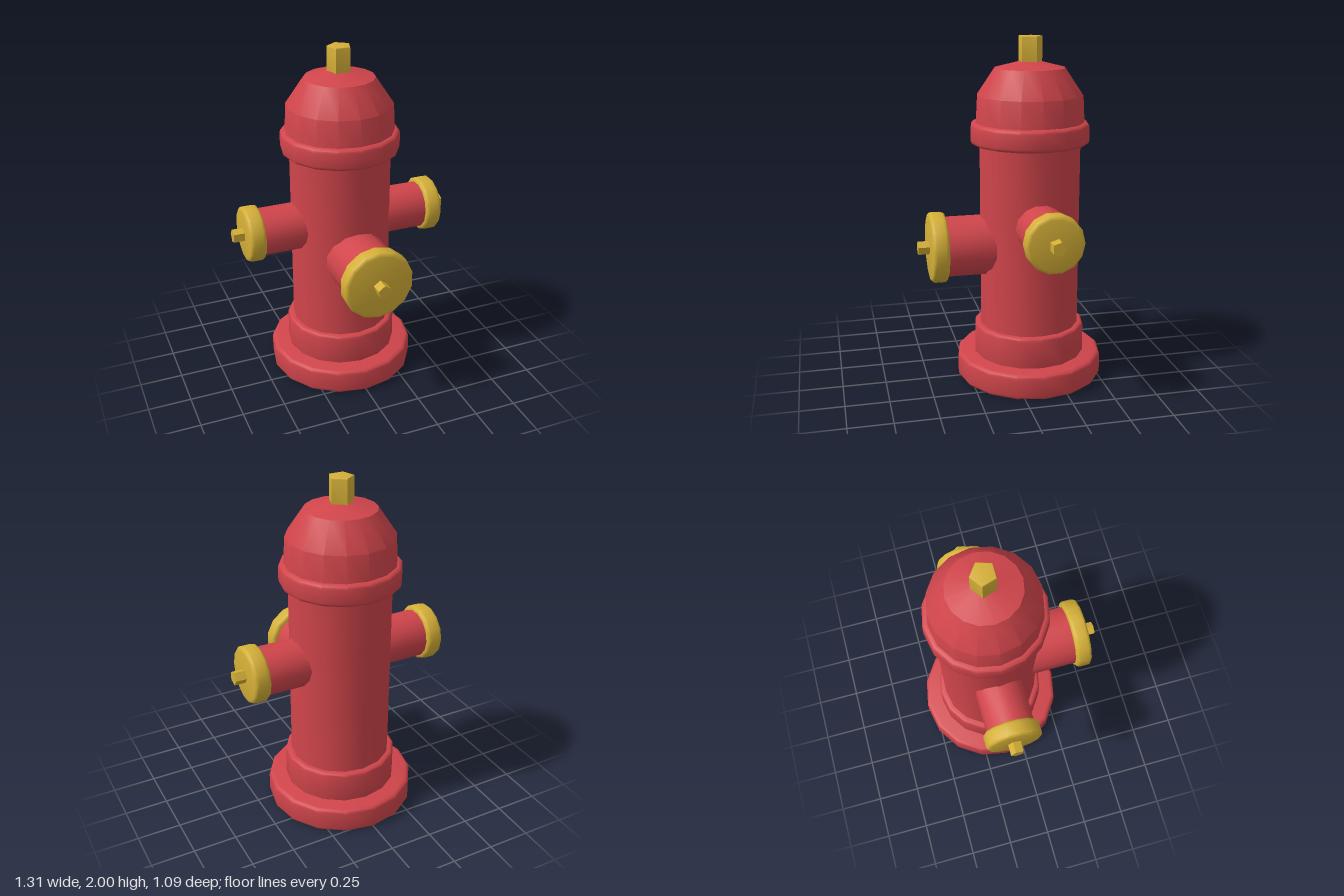
import * as THREE from 'three';
import { toCreasedNormals } from 'three/addons/utils/BufferGeometryUtils.js';

const red = new THREE.MeshStandardMaterial({ color: 0xd0454b });
red.name = 'hydrant red';
const gold = new THREE.MeshStandardMaterial({ color: 0xd4af37 });
gold.name = 'brass yellow';

const AXIS_Z = -0.115;

// Solid of revolution about y, first corner towards -z
function turned(name, profile, sides, material) {
  const points = profile.map(([r, y]) => new THREE.Vector2(r, y));
  const geometry = new THREE.LatheGeometry(points, sides, Math.PI);
  const mesh = new THREE.Mesh(toCreasedNormals(geometry, 0.6), material);
  mesh.name = name;
  return mesh;
}

// Closed disc profile with rounded rims
function disc(radius, y0, y1, bevel) {
  const profile = [[0, y0]];
  for (let i = 0; i <= 3; i++) {
    const a = (i / 3) * Math.PI / 2;
    profile.push([radius - bevel + bevel * Math.sin(a), y0 + bevel - bevel * Math.cos(a)]);
  }
  for (let i = 0; i <= 3; i++) {
    const a = (i / 3) * Math.PI / 2;
    profile.push([radius - bevel + bevel * Math.cos(a), y1 - bevel + bevel * Math.sin(a)]);
  }
  profile.push([0, y1]);
  return profile;
}

const plain = (radius, y0, y1) => [[0, y0], [radius, y0], [radius, y1], [0, y1]];

// Outlet along +y: red pipe, brass cap and five-sided nut
function outlet(name, pipeRadius, capRadius, start, capStart, capEnd, nutEnd) {
  const group = new THREE.Group();
  group.name = name;
  group.add(
    turned('outletPipe', plain(pipeRadius, start, capStart + 0.02), 14, red),
    turned('outletCap', disc(capRadius, capStart, capEnd, 0.022), 14, gold),
    turned('outletNut', plain(0.04, capEnd - 0.01, nutEnd), 5, gold)
  );
  return group;
}

export function createModel() {
  const model = new THREE.Group();
  model.name = 'fireHydrant';

  // Upright barrel and its rings
  const column = new THREE.Group();
  column.name = 'column';
  column.position.z = AXIS_Z;
  column.add(
    turned('baseFlange', disc(0.43, 0, 0.15, 0.025), 16, red),
    turned('lowerCollar', disc(0.325, 0.13, 0.33, 0.02), 16, red),
    turned('barrel', plain(0.29, 0.3, 1.43), 16, red),
    turned('upperRing', disc(0.34, 1.4, 1.525, 0.025), 16, red),
    turned('bonnet', [[0, 1.5], [0.312, 1.5], [0.302, 1.675], [0.2, 1.826], [0.065, 1.86], [0, 1.876]], 16, red),
    turned('topNut', disc(0.07, 1.82, 2, 0.005), 5, gold)
  );
  model.add(column);

  // Large front outlet
  const front = outlet('frontOutlet', 0.175, 0.205, 0.05, 0.38, 0.475, 0.54);
  front.position.y = 0.815;
  front.rotation.x = Math.PI / 2;
  model.add(front);

  // Smaller outlets on both sides
  for (const side of [1, -1]) {
    const arm = outlet(side > 0 ? 'leftOutlet' : 'rightOutlet', 0.139, 0.163, 0.15, 0.495, 0.592, 0.655);
    arm.position.set(0, 0.965, AXIS_Z);
    arm.rotation.z = -side * Math.PI / 2;
    model.add(arm);
  }

  return model;
}
